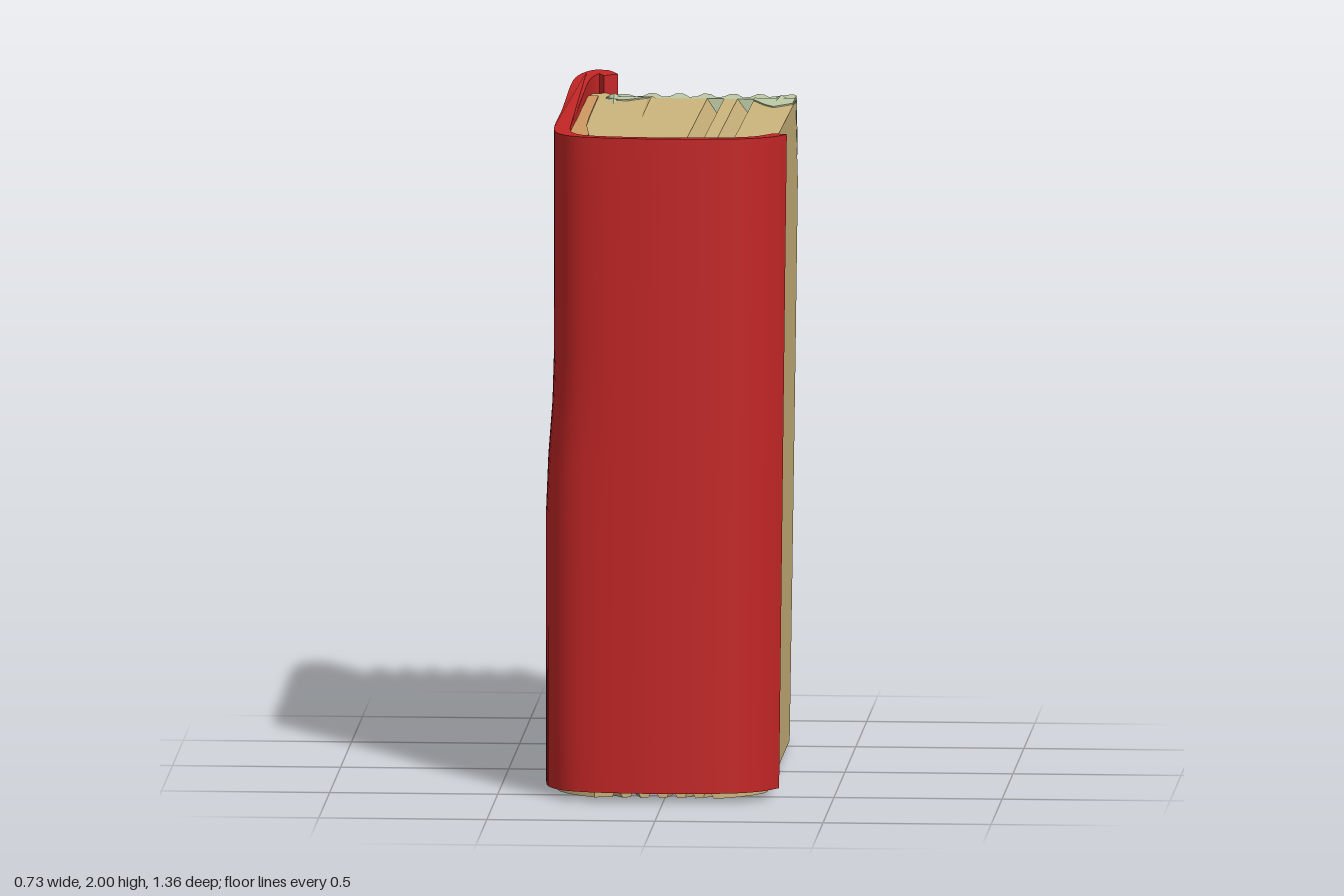
import * as THREE from 'three';
import { toCreasedNormals } from 'three/addons/utils/BufferGeometryUtils.js';

const V = (x, y) => new THREE.Vector2(x, y);

export function createModel() {
  const book = new THREE.Group();
  book.name = 'book';
  const mat = (name, color) => {
    const m = new THREE.MeshStandardMaterial({ color });
    m.name = name;
    return m;
  };
  const red = mat('coverRed', 0xc42626);
  const tan = mat('paperTan', 0xcdb57c);
  const green = mat('paleGreen', 0xbecba6);
  const orange = mat('stainOrange', 0xcf9a62);

  // The whole book leans a little: the foot shifts to the right and narrows.
  const lean = (geo, tilt) => {
    const p = geo.attributes.position;
    for (let i = 0; i < p.count; i++) {
      const x = p.getX(i), y = p.getY(i), z = p.getZ(i);
      const t = THREE.MathUtils.clamp(y / 2, 0, 1);
      const s = x < -0.2 ? THREE.MathUtils.smoothstep(t, 0.42, 0.65) : t;
      p.setXYZ(i, x - 0.024 * (1 - s), y + tilt(t, z), z * (1 - 0.03 * (1 - t)));
    }
    return toCreasedNormals(geo, 0.6);
  };
  const pageTilt = (t, z) => t * 0.025 * z;
  const coverTilt = (t, z) =>
    0.03 * (1 - t) * (z + 0.68) / 1.36 - 0.018 * t * (1 - (z / 0.69) ** 2);

  const add = (name, geo, material, tilt = pageTilt) => {
    const mesh = new THREE.Mesh(lean(geo, tilt), material);
    mesh.name = name;
    book.add(mesh);
  };
  // Upright prism from an outline of (x, z) points.
  const upright = (pts, y0, y1, steps = 1) => {
    const shape = new THREE.Shape(pts.map((p) => V(p.x, -p.y)));
    return new THREE.ExtrudeGeometry(shape, { depth: y1 - y0, bevelEnabled: false, steps })
      .rotateX(-Math.PI / 2).translate(0, y0, 0);
  };
  const outline = (list) => list.map(([x, z]) => V(x, z));

  // Cover: one board with a curled rear edge, running into the rounded spine
  const path = new THREE.SplineCurve(outline([
    [-0.235, -0.6], [-0.272, -0.655], [-0.31, -0.57], [-0.32, -0.4], [-0.317, 0],
    [-0.315, 0.4], [-0.285, 0.56], [-0.2, 0.63], [0, 0.656], [0.2, 0.635],
    [0.29, 0.585], [0.34, 0.5],
  ]));
  const N = 55, outer = [], inner = [];
  for (let i = 0; i <= N; i++) {
    const p = path.getPoint(i / N), d = path.getTangent(i / N);
    const n = V(-d.y, d.x).multiplyScalar(0.024);
    outer.push(p.clone().add(n));
    inner.unshift(p.clone().sub(n));
  }
  add('cover', upright([...outer, ...inner], 0, 2, 12), red, coverTilt);

  // Page block: section across the width, grooved on top and pleated below
  const top = 1.957, back = -0.48, right = 0.325, left = -0.3;
  const section = [
    [left, top], [0.06, top], [0.1, top - 0.06], [0.11, top], [0.15, top],
    [0.195, top - 0.06], [0.2, top], [right, top], [right, 0.012],
  ];
  for (let i = 0; i < 6; i++) {
    const x = 0.29 - i * 0.09;
    section.push([x, 0.012], [x - 0.035, 0.05], [x - 0.05, 0.014]);
  }
  section.push([left, 0.012]);
  const block = new THREE.ExtrudeGeometry(new THREE.Shape(outline(section)), {
    depth: 0.64 - back, steps: 28, bevelEnabled: false,
  }).translate(0, 0, back);
  const bp = block.attributes.position;
  for (let i = 0; i < bp.count; i++) {
    // round the front corners so the pages sit inside the spine
    const k = Math.max(0, (bp.getZ(i) - 0.48) / 0.16);
    bp.setX(i, bp.getX(i) * (1 - 0.4 * k * k));
  }
  add('pageBlock', block, tan);

  // Fanned page edges at the rear
  const fan = [[0.318, back], [0.32, -0.57], [0.308, -0.603], [0.285, -0.575], [0.24, -0.53]];
  for (let i = 0; i < 5; i++) {
    const x = 0.21 - i * 0.08;
    fan.push([x + 0.012, -0.59], [x - 0.008, -0.598], [x - 0.024, -0.53], [x - 0.045, -0.515]);
  }
  fan.push([-0.18, -0.565], [-0.2, -0.572], [-0.225, -0.53], [-0.225, back]);
  add('pageEdges', upright(outline(fan), 0.016, top, 8), green);
  add('pageEdgesFoot', upright(outline(fan), 0.01, 0.016), tan);

  // Last page on the open side, with a worn top corner and a receding lower edge
  const page = new THREE.Shape(outline([
    [0.47, 0.012], [0.55, 0.012], [0.575, 0.5], [0.595, 1.2], [0.6, 1.7],
    [0.55, 1.78], [0.52, 1.88], [0.505, top], [0.47, top],
  ]));
  add('lastPage', new THREE.ExtrudeGeometry(page, { depth: 0.006, bevelEnabled: false })
    .rotateY(Math.PI / 2).translate(0.319, 0, 0), tan);
  const corner = new THREE.Shape(outline([
    [0.45, top], [0.505, top], [0.52, 1.88], [0.55, 1.78], [0.48, 1.9],
  ]));
  add('wornCorner', new THREE.ExtrudeGeometry(corner, { depth: 0.006, bevelEnabled: false })
    .rotateY(Math.PI / 2).translate(0.32, 0, 0), green);

  // Endpaper between the cover curl and the fanned edges
  add('endpaper', upright(outline([
    [-0.3, back], [-0.225, back], [-0.225, -0.535], [-0.245, -0.585], [-0.3, -0.57],
  ]), 0.015, top, 8), tan);

  // Discoloured patches on the top of the pages
  const patch = (name, list, material) =>
    add(name, upright(outline(list), top, top + 0.004), material);
  patch('fadedRight', [
    [0.322, back], [0.322, -0.36], [0.27, -0.28], [0.24, -0.33], [0.2, -0.44], [0.2, back],
  ], green);
  patch('fadedLeft', [
    [-0.1, back], [-0.13, -0.46], [-0.17, -0.41], [-0.2, -0.41], [-0.24, -0.46], [-0.24, back],
  ], green);
  patch('coverStain', [
    [-0.295, -0.5], [-0.265, -0.5], [-0.26, 0], [-0.255, 0.2], [-0.235, 0.4],
    [-0.24, 0.5], [-0.2, 0.58], [-0.24, 0.58], [-0.295, 0.42],
  ], orange);
  patch('spineStain', [
    [0.32, 0.48], [0.27, 0.53], [0.2, 0.6], [0.25, 0.59], [0.31, 0.53],
  ], orange);

  // Dark-edged nicks standing up from the pages
  const nick = (x, z, w, len, turn) => {
    const g = new THREE.ConeGeometry(w, len, 4).rotateX(Math.PI / 2).scale(1, 0.5, 1)
      .rotateY(turn).translate(x, top, z);
    add('pageNick', g, Math.abs(z) > 0.4 && z < 0 ? green : tan);
  };
  nick(-0.215, -0.42, 0.02, 0.18, 0.05);
  nick(0.27, -0.42, 0.018, 0.18, -0.1);
  nick(-0.105, -0.25, 0.012, 0.46, 0);
  nick(-0.19, 0.5, 0.018, 0.1, 1.3);

  return book;
}
